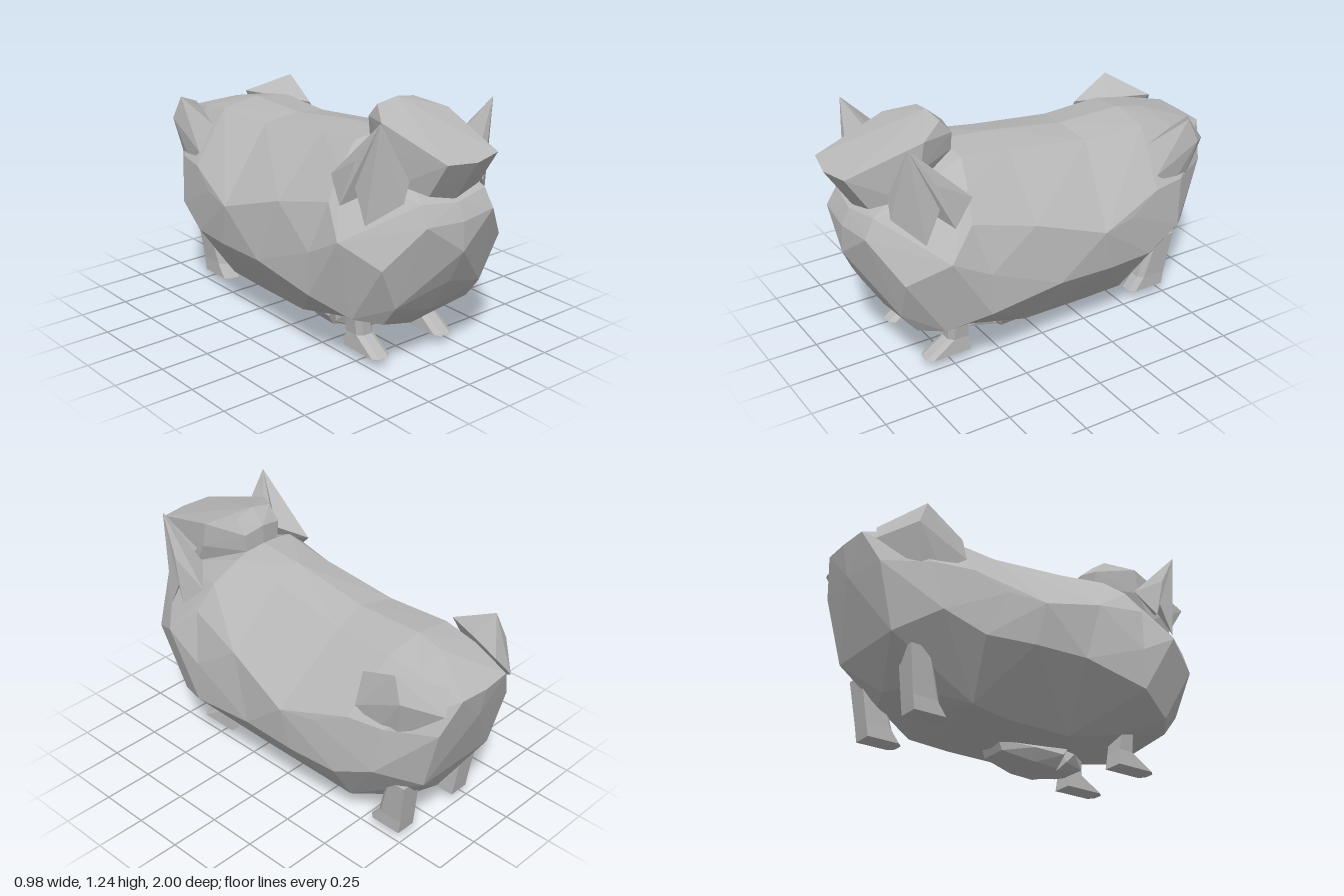
import * as THREE from 'three';
import { ConvexGeometry } from 'three/addons/geometries/ConvexGeometry.js';

const skin = new THREE.MeshStandardMaterial({ color: 0xb8b8b8 });
skin.name = 'greySkin';
skin.flatShading = true;

// Faceted solid spanned by a few corner points
function facet(name, points) {
  const mesh = new THREE.Mesh(new ConvexGeometry(points.map(p => new THREE.Vector3(...p))), skin);
  mesh.name = name;
  return mesh;
}
const flip = pts => pts.map(([x, y, z]) => [-x, y, z]);
// Symmetric solid given by the corners of its left half
const whole = (name, pts) => facet(name, [...pts, ...flip(pts.filter(p => p[0] > 0))]);
// Two mirrored solids
const pair = (name, pts) => [facet(name + 'Left', pts), facet(name + 'Right', flip(pts))];

export function createModel() {
  const model = new THREE.Group();
  model.name = 'pig';

  // Shared cross-sections, listed from spine to belly
  const neckRing = [
    [0, 1.075, 0.42], [0.18, 1.05, 0.4], [0.3, 0.95, 0.44], [0.39, 0.82, 0.47],
    [0.457, 0.575, 0.41], [0.46, 0.365, 0.41], [0.25, 0.2, 0.42], [0, 0.12, 0.4],
  ];
  const chestRing = [
    [0, 1.052, 0.14], [0.16, 1.02, 0.14], [0.437, 0.745, 0.16],
    [0.475, 0.42, 0.04], [0.25, 0.12, 0.1], [0, 0.09, 0.08],
  ];
  const waistRing = [
    [0, 0.995, -0.25], [0.18, 0.965, -0.28], [0.49, 0.625, -0.2],
    [0.47, 0.41, -0.25], [0.25, 0.12, -0.25], [0, 0.075, -0.25],
  ];
  const hipRing = [
    [0, 1.0, -0.6], [0.2, 0.97, -0.6], [0.41, 0.72, -0.55], [0.455, 0.64, -0.38],
    [0.44, 0.4, -0.5], [0.27, 0.14, -0.45], [0, 0.075, -0.44],
  ];

  // Head and body
  model.add(
    whole('head', [
      ...neckRing,
      [0, 0.85, 0.89], [0.19, 0.87, 0.86], [0, 0.77, 0.93], [0.2, 0.78, 0.91],
      [0, 0.63, 0.935], [0.36, 0.585, 0.8], [0.455, 0.685, 0.61], [0.37, 0.29, 0.61],
      [0, 0.46, 0.85], [0.26, 0.37, 0.78], [0, 0.285, 0.74], [0.26, 0.265, 0.7],
      [0, 0.16, 0.6],
    ]),
    whole('chest', [...neckRing, ...chestRing]),
    whole('waist', [...chestRing, ...waistRing]),
    whole('flank', [...waistRing, ...hipRing]),
    whole('rump', [
      ...hipRing,
      [0, 0.97, -0.74], [0.19, 0.94, -0.78], [0, 0.885, -1.0], [0.15, 0.89, -0.99],
      [0.37, 0.72, -0.73], [0.24, 0.72, -0.94], [0, 0.73, -0.97],
      [0.4, 0.485, -0.7], [0.23, 0.4, -0.86], [0, 0.4, -0.86],
      [0.14, 0.2, -0.7], [0, 0.21, -0.76], [0, 0.12, -0.6],
    ]),
  );

  // Raised snout block with a tilted flat top
  model.add(whole('snout', [
    [0, 1.24, 0.48], [0.11, 1.22, 0.47], [0.2, 1.18, 0.6], [0.15, 1.07, 0.97], [0, 1.06, 1.0],
    [0.11, 1.15, 0.41], [0, 1.17, 0.4], [0.1, 1.06, 0.41], [0.2, 1.05, 0.62],
    [0.19, 0.92, 0.7], [0.15, 0.9, 0.86], [0, 0.86, 0.87], [0, 1.05, 0.4],
  ]));

  // Ears: a front and a back blade meeting at the tip
  const earTip = [0.335, 1.238, 0.75];
  model.add(
    ...pair('earFront', [
      earTip, [0.2, 0.96, 0.79], [0.24, 0.87, 0.8], [0.365, 0.765, 0.69],
      [0.36, 0.98, 0.59], [0.225, 1.04, 0.64],
    ]),
    ...pair('earBack', [
      earTip, [0.4, 0.83, 0.56], [0.375, 1.05, 0.63], [0.36, 0.94, 0.45],
      [0.25, 1.0, 0.57], [0.28, 0.9, 0.65],
    ]),
  );

  // Angular lumps on the rump
  model.add(...pair('rumpFlap', [
    [0.31, 0.92, -0.55], [0.38, 0.78, -0.57], [0.36, 0.7, -0.69], [0.33, 0.69, -0.78],
    [0.37, 0.9, -0.82], [0.23, 0.83, -0.96], [0.16, 0.93, -0.92], [0.35, 1.02, -0.77],
    [0.24, 0.93, -0.72],
  ]));

  // Legs: shank from top to ankle, then a hoof pointing forward
  const block = (y, x0, x1, z0, z1) => {
    const c = (x1 - x0) * 0.25;
    return [[x0, y, z0], [x1, y, z0], [x1, y, z1 - c], [x1 - c, y, z1], [x0 + c, y, z1], [x0, y, z1 - c]];
  };
  const foreAnkle = block(0.13, 0.15, 0.245, 0.42, 0.52);
  const hindAnkle = block(0.12, 0.15, 0.25, -0.75, -0.6);
  model.add(
    ...pair('foreShank', [...block(0.25, 0.16, 0.26, 0.43, 0.52), ...foreAnkle]),
    ...pair('foreHoof', [...foreAnkle, ...block(0.052, 0.145, 0.25, 0.41, 0.64)]),
    ...pair('hindShank', [...block(0.35, 0.16, 0.27, -0.78, -0.66), ...hindAnkle]),
    ...pair('hindHoof', [...hindAnkle, ...block(0.052, 0.145, 0.25, -0.74, -0.55)]),
  );

  // Udder under the belly
  model.add(
    whole('udder', [
      [0.12, 0.12, 0.2], [0.14, 0.075, 0.16], [0.1, 0.015, 0.15], [0, 0, 0.17],
      [0.1, 0.02, 0.02], [0, 0.01, 0.04], [0.13, 0.08, 0], [0.07, 0.05, -0.15], [0.07, 0.1, -0.17],
    ]),
    whole('udderFront', [
      [0.06, 0.1, 0.33], [0.07, 0.05, 0.32], [0.05, 0.025, 0.25], [0.12, 0.1, 0.24],
      [0.12, 0.05, 0.19], [0.08, 0.02, 0.17], [0.1, 0.12, 0.17],
    ]),
  );
  return model;
}
